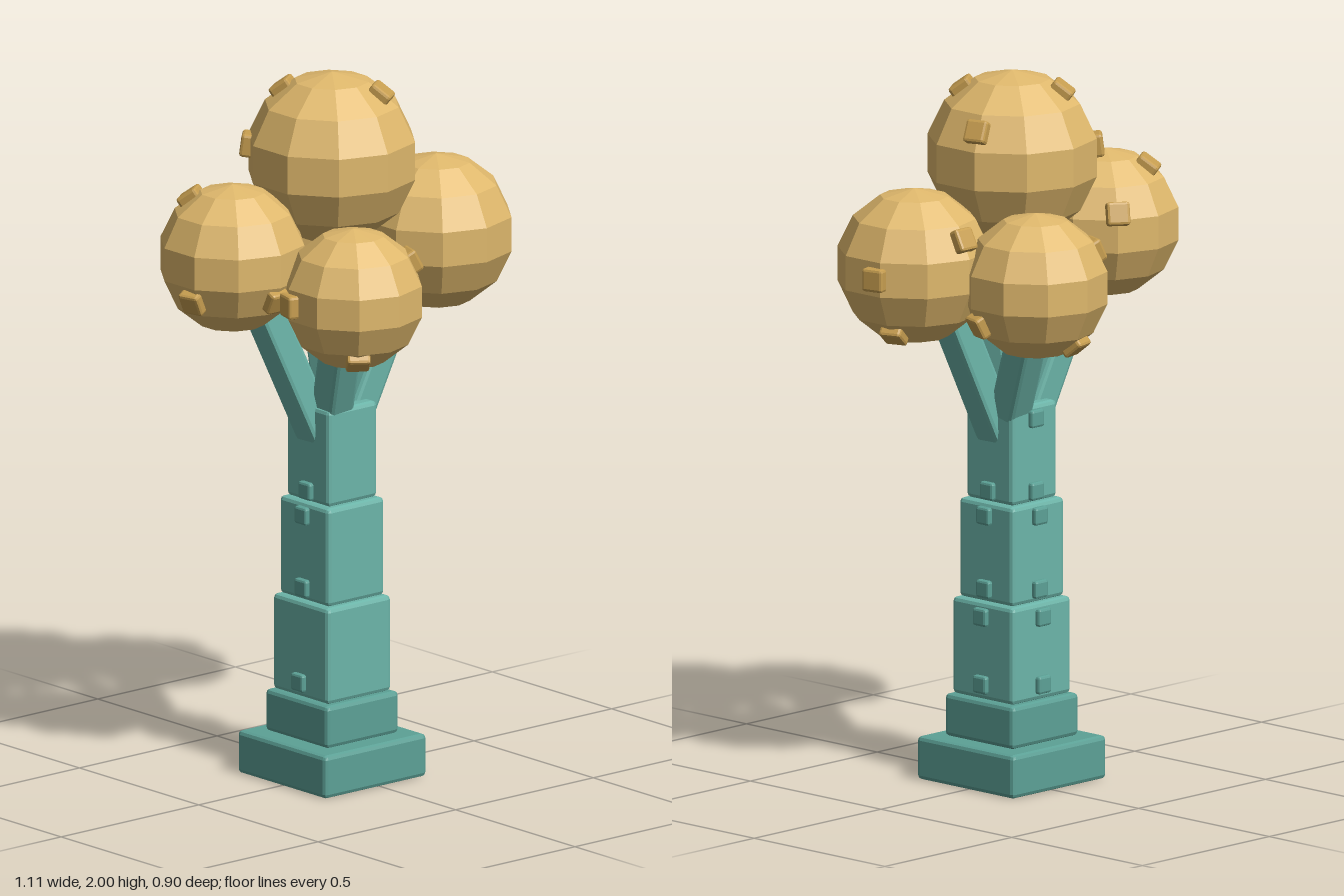
import * as THREE from 'three';
import { RoundedBoxGeometry } from 'three/addons/geometries/RoundedBoxGeometry.js';

const paint = (color) => new THREE.MeshStandardMaterial({ color, flatShading: true });
const UP = new THREE.Vector3(0, 1, 0);
const OUT = new THREE.Vector3(0, 0, 1);

export function createModel() {
  const root = new THREE.Group();
  const bark = paint(0x6cb5a9), darkBark = paint(0x5ca196);
  const leaf = paint(0xdfb86c), darkLeaf = paint(0xc79e50);

  // Bevelled box centred on its position
  function block(name, parent, mat, w, h, d, x, y, z, bevel = 0.012) {
    const mesh = new THREE.Mesh(new RoundedBoxGeometry(w, h, d, 1, bevel), mat);
    mesh.name = name;
    mesh.position.set(x, y, z);
    parent.add(mesh);
    return mesh;
  }

  // Stepped trunk: width, bottom, top
  const cx = -0.02, cz = 0.005;
  const trunk = new THREE.Group();
  trunk.name = 'trunk';
  root.add(trunk);
  [
    ['base', 0.37, 0, 0.122, darkBark],
    ['plinth', 0.262, 0.122, 0.242, darkBark],
    ['lowerTrunk', 0.232, 0.242, 0.515, bark],
    ['middleTrunk', 0.206, 0.515, 0.794, bark],
    ['upperTrunk', 0.178, 0.794, 1.068, bark],
  ].forEach(([name, w, y0, y1, mat]) =>
    block(name, trunk, mat, w, y1 - y0, w, cx, (y0 + y1) / 2, cz));

  // Bark studs on both sides and the back: height, trunk width, faces as [x, z]
  const sides = [[1, 0], [-1, 0], [0, -1]];
  [
    [0.285, 0.232, sides],
    [0.475, 0.232, [[1, 0], [0, -1]]],
    [0.552, 0.206, sides],
    [0.758, 0.206, sides],
    [0.826, 0.178, sides],
    [1.03, 0.178, [[0, -1]]],
  ].forEach(([y, w, faces]) => faces.forEach(([nx, nz]) => {
    const r = w / 2;
    const stud = block('barkStud', trunk, darkBark, 0.05, 0.05, 0.03, cx + nx * r, y, cz + nz * r, 0.007);
    stud.rotation.y = Math.atan2(nx, nz);
  }));

  // Branches: start and end of each axis
  [
    [[-0.03, 0.9, 0.0], [-0.29, 1.46, -0.03]],
    [[-0.01, 0.9, 0.01], [0.26, 1.47, 0.03]],
    [[-0.02, 0.93, -0.015], [-0.155, 1.44, 0.225]],
    [[0.0, 0.93, 0.02], [0.115, 1.44, -0.225]],
  ].forEach(([a, b]) => {
    const from = new THREE.Vector3(...a), to = new THREE.Vector3(...b);
    const mid = from.clone().lerp(to, 0.5);
    const branch = block('branch', root, bark, 0.088, from.distanceTo(to), 0.088, mid.x, mid.y, mid.z);
    branch.quaternion.setFromUnitVectors(UP, to.sub(from).normalize());
  });

  // Foliage balls: centre, radius, and directions of their leaf tufts
  [
    ['topFoliage', [-0.012, 1.759, -0.005], 0.241,
      [[-0.08, 0.19, -0.115], [0.08, 0.19, 0.115], [0.2, 0.106, -0.06], [-0.16, 0.03, -0.16]]],
    ['rightFoliage', [-0.343, 1.524, -0.04], 0.208,
      [[-0.07, 0.17, -0.1], [0.106, 0.06, -0.148], [-0.18, -0.09, 0.04], [0, -0.09, 0.19]]],
    ['leftFoliage', [0.327, 1.497, 0.041], 0.218,
      [[0, 0.1, -0.19], [0.21, 0, -0.05], [0.12, -0.17, -0.04]]],
    ['frontFoliage', [-0.16, 1.437, 0.256], 0.198,
      [[0.16, 0.088, 0.05], [-0.18, 0, -0.05], [-0.07, -0.15, 0.1]]],
    ['backFoliage', [0.153, 1.458, -0.254], 0.205,
      [[-0.165, 0.08, -0.055], [0.16, -0.09, 0.05], [-0.03, -0.15, -0.12]]],
  ].forEach(([name, centre, radius, tufts]) => {
    const group = new THREE.Group();
    group.name = name;
    group.position.set(...centre);
    root.add(group);
    const ball = new THREE.Mesh(new THREE.SphereGeometry(radius, 10, 7).rotateY(Math.PI / 2), leaf);
    ball.name = 'foliageBall';
    group.add(ball);
    tufts.forEach((dir) => {
      const n = new THREE.Vector3(...dir).normalize();
      const p = n.clone().multiplyScalar(radius * 0.965);
      const tuft = block('leafTuft', group, darkLeaf, 0.065, 0.065, 0.04, p.x, p.y, p.z, 0.008);
      // Yaw, then pitch, so the tuft lies flat on the ball
      tuft.rotation.set(-Math.asin(n.y), Math.atan2(n.x, n.z), 0, 'YXZ');
    });
  });

  return root;
}
